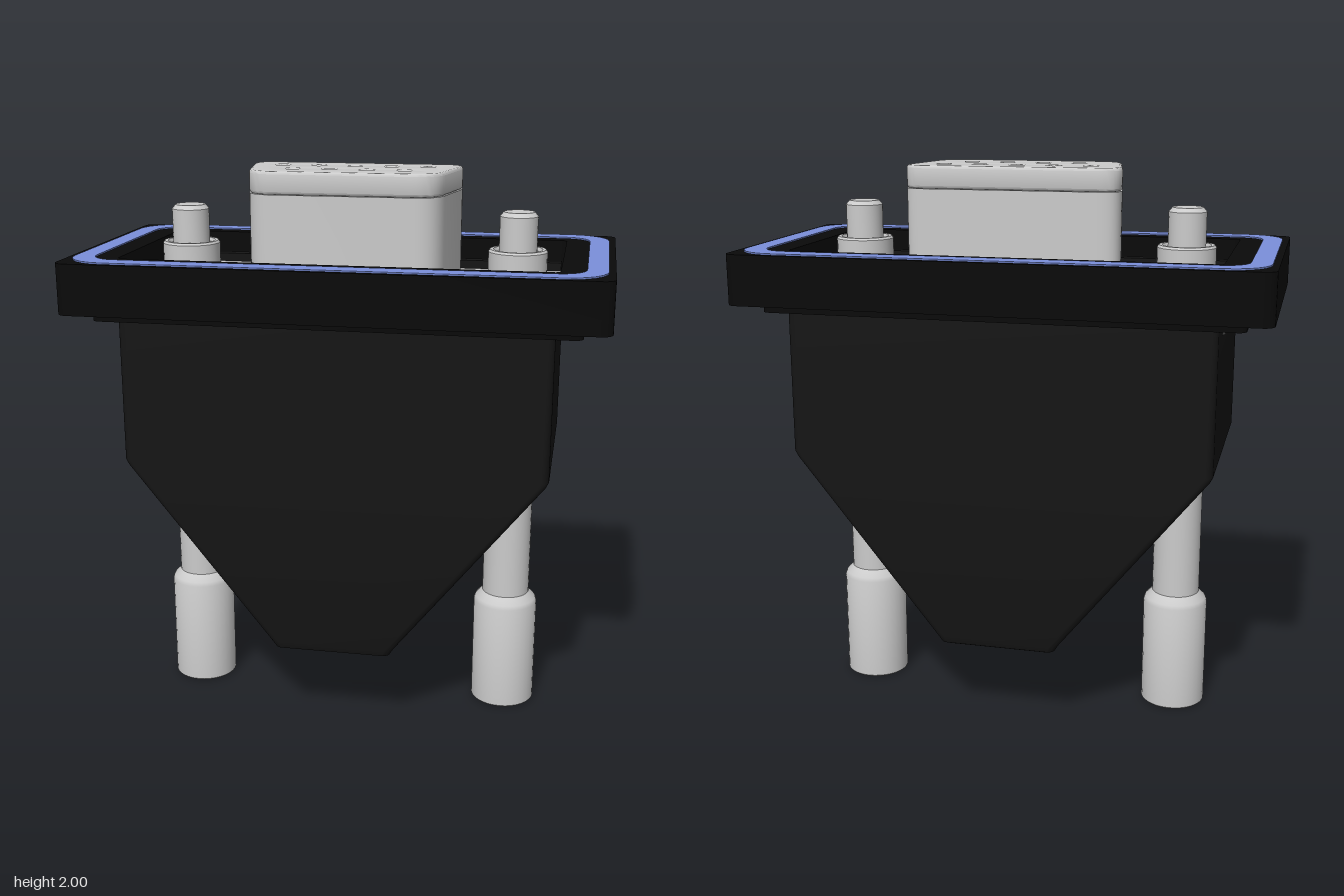
import * as THREE from 'three';
import { toCreasedNormals } from 'three/addons/utils/BufferGeometryUtils.js';

const material = (color) => new THREE.MeshStandardMaterial({ color });
const black = material(0x161616);
const darkest = material(0x0a0a0a);
const blue = material(0x7b90dc);
const grey = material(0xcccccc);
const clipGrey = material(0x777777);

// Outline of a rounded rectangle, as points
function rectPoints(hx, hz, r, steps = 6) {
  const pts = [];
  const corners = [[1, 1], [-1, 1], [-1, -1], [1, -1]];
  corners.forEach(([sx, sz], c) => {
    for (let i = 0; i <= steps; i++) {
      const a = (c + i / steps) * Math.PI / 2;
      pts.push(new THREE.Vector2(sx * (hx - r) + r * Math.cos(a), sz * (hz - r) + r * Math.sin(a)));
    }
  });
  return pts;
}

// Outline of a polygon with rounded corners
function roundedPolygon(corners, r) {
  const shape = new THREE.Shape();
  const v = corners.map(([x, y]) => new THREE.Vector2(x, y));
  v.forEach((p, i) => {
    const before = v[(i + v.length - 1) % v.length].clone().sub(p).setLength(r).add(p);
    const after = v[(i + 1) % v.length].clone().sub(p).setLength(r).add(p);
    if (i) shape.lineTo(before.x, before.y); else shape.moveTo(before.x, before.y);
    shape.quadraticCurveTo(p.x, p.y, after.x, after.y);
  });
  shape.closePath();
  return shape;
}

// Upright extrusion from y0 to y1; shape y becomes -z
function slab(shape, y0, y1, bevel = 0) {
  const geo = new THREE.ExtrudeGeometry(shape, {
    depth: y1 - y0 - 2 * bevel, curveSegments: 10,
    bevelEnabled: bevel > 0, bevelSize: bevel, bevelThickness: bevel, bevelOffset: -bevel, bevelSegments: 3,
  });
  geo.rotateX(-Math.PI / 2).translate(0, y0 + bevel, 0);
  return toCreasedNormals(geo, 0.6);
}

function frame(hx, hz, r, ix, iz, ir) {
  const shape = new THREE.Shape(rectPoints(hx, hz, r));
  shape.holes.push(new THREE.Path(rectPoints(ix, iz, ir)));
  return shape;
}

// Side walls through rounded sections listed from bottom to top
function loft(sections) {
  const positions = [], index = [];
  const rings = sections.map(([y, hx, hz, r]) => rectPoints(hx, hz, r).map((p) => [p.x, y, p.y]));
  const n = rings[0].length;
  rings.forEach((ring) => ring.forEach((p) => positions.push(...p)));
  for (let s = 0; s < rings.length - 1; s++) {
    for (let i = 0; i < n; i++) {
      const a = s * n + i, b = s * n + (i + 1) % n;
      index.push(a, a + n, b, b, a + n, b + n);
    }
  }
  const geo = new THREE.BufferGeometry();
  geo.setAttribute('position', new THREE.Float32BufferAttribute(positions, 3));
  geo.setIndex(index);
  return toCreasedNormals(geo, 0.5);
}

function lathe(profile) {
  const geo = new THREE.LatheGeometry(profile.map(([x, y]) => new THREE.Vector2(x, y)), 32);
  return toCreasedNormals(geo, 0.5);
}

export function createModel() {
  const model = new THREE.Group();
  model.name = 'cableConnector';
  const add = (name, geo, mat, x = 0, y = 0, z = 0) => {
    const mesh = new THREE.Mesh(geo, mat);
    mesh.name = name;
    mesh.position.set(x, y, z);
    model.add(mesh);
    return mesh;
  };

  // Tapered hood with a cable opening underneath
  add('hood', loft([
    [0.3, 0.2, 0.37, 0.02], [0.31, 0.21, 0.39, 0.025], [0.335, 0.225, 0.4, 0.03],
    [0.98, 0.74, 0.4, 0.03], [1.0, 0.75, 0.4, 0.03], [1.52, 0.75, 0.4, 0.03],
  ]), black);
  const bottom = new THREE.Shape(rectPoints(0.2, 0.37, 0.02));
  bottom.holes.push(new THREE.Path().absarc(0, 0, 0.18, 0, Math.PI * 2, true));
  add('hoodBottom', new THREE.ShapeGeometry(bottom, 24).rotateX(Math.PI / 2), black, 0, 0.3);
  const bore = new THREE.CylinderGeometry(0.18, 0.18, 0.08, 32, 1, true);
  add('cableOpening', bore, new THREE.MeshStandardMaterial({ color: 0x0a0a0a, side: THREE.BackSide }), 0, 0.34);
  add('cableOpeningEnd', new THREE.CircleGeometry(0.18, 32).rotateX(Math.PI / 2), darkest, 0, 0.38);

  // Flange with its lower step, open well and gasket
  add('flangeStep', slab(new THREE.Shape(rectPoints(0.84, 0.405, 0.03)), 1.5, 1.54), darkest);
  add('flange', slab(frame(0.933, 0.495, 0.04, 0.755, 0.35, 0.02), 1.535, 1.712), darkest);
  add('gasket', slab(frame(0.91, 0.478, 0.14, 0.84, 0.405, 0.09), 1.69, 1.717), blue);

  // Metal face plate between two dark ledges
  add('facePlate', new THREE.BoxGeometry(1.5, 0.07, 0.54), grey, 0, 1.575);
  for (const s of [-1, 1]) {
    add('wellLedge', new THREE.BoxGeometry(1.48, 0.1, 0.045), black, 0, 1.59, s * 0.295);
  }

  // Trapezoid socket block with five and four pin holes
  const corners = [[-0.395, 0.188], [-0.33, -0.186], [0.33, -0.186], [0.395, 0.188]];
  const socket = roundedPolygon(corners, 0.09);
  add('socketBase', slab(socket, 1.6, 1.92), grey);
  const socketTop = roundedPolygon(corners, 0.09);
  for (const [count, y] of [[5, 0.075], [4, -0.06]]) {
    for (let i = 0; i < count; i++) {
      const x = (i - (count - 1) / 2) * 0.132;
      socketTop.holes.push(new THREE.Path().absarc(x, y, 0.02, 0, Math.PI * 2, true));
    }
  }
  add('socketTop', slab(socketTop, 1.92, 2.0, 0.01), grey);

  for (const s of [-1, 1]) {
    const x = s * 0.595;
    // Thumbscrew with a wide grip, running up into the hood
    add('thumbscrew', lathe([
      [0, 0], [0.112, 0], [0.118, 0.006], [0.118, 0.4], [0.112, 0.415], [0.087, 0.44], [0.087, 1.1], [0, 1.1],
    ]), grey, x);
    // Screw tip with its collar
    add('screwCollar', lathe([
      [0.104, 1.6], [0.104, 1.722], [0.098, 1.73], [0.086, 1.73], [0.08, 1.718], [0, 1.718],
    ]), grey, x);
    add('screwTip', lathe([
      [0.067, 1.7], [0.067, 1.845], [0.054, 1.86], [0, 1.86],
    ]), grey, x);
    // Sloped latch wedge under each end of the flange
    const wedge = new THREE.BoxGeometry(0.06, 0.045, 0.6);
    const p = wedge.attributes.position;
    for (let i = 0; i < p.count; i++) {
      if (p.getY(i) < 0) {
        if (p.getX(i) * s > 0) p.setX(i, -s * 0.005);
        p.setZ(i, p.getZ(i) * 0.75);
      }
    }
    wedge.computeVertexNormals();
    add('latchWedge', wedge, clipGrey, s * 0.76, 1.481);
  }
  return model;
}
